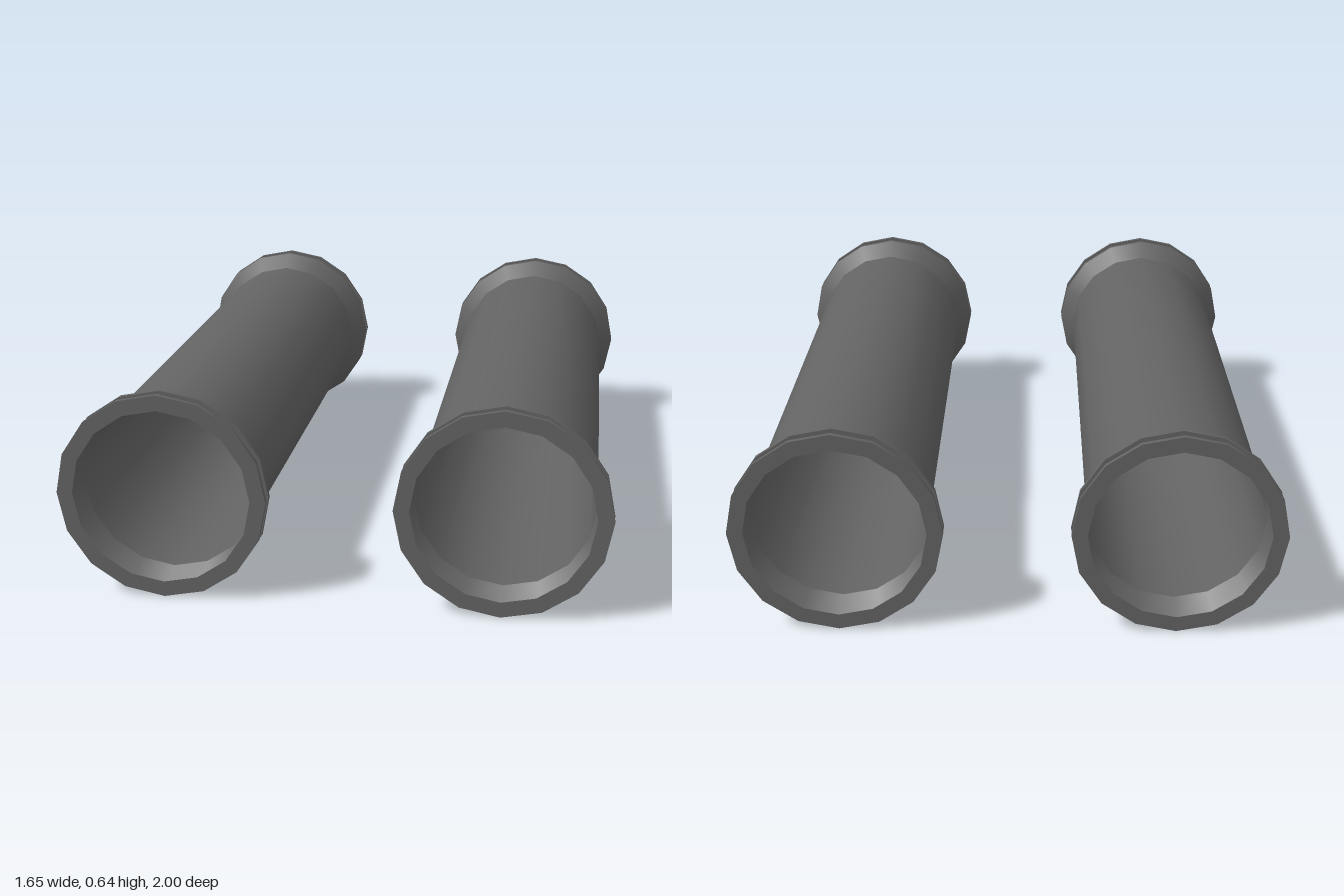
import * as THREE from 'three';

const SIDES = 16;
const RIM = 0.319, GROOVE = 0.3, BORE = 0.271;

export function createModel() {
  const grey = new THREE.MeshStandardMaterial({ color: 0x636363, side: THREE.DoubleSide });
  grey.name = 'dark grey';
  const orange = new THREE.MeshStandardMaterial({ color: 0xdd7711, side: THREE.DoubleSide });
  orange.name = 'orange';

  // Half profile from the middle of the tube outwards: [part, radius, z] to the next point
  const half = [
    ['tube', BORE, 0],
    ['flare', BORE, 0.88],
    ['flareLip', RIM, 0.94],
    ['flareLipFace', RIM, 0.955],
    ['sealRing', GROOVE, 0.955],
    ['flangeBack', GROOVE, 0.985],
    ['flangeEdge', RIM, 0.985],
    ['flangeFace', RIM, 1],
    ['', BORE, 1],
  ];

  // One hollow tube; each profile step is its own band so the edges stay sharp
  function makeTube(name, x) {
    const tube = new THREE.Group();
    tube.name = name;
    for (const end of [1, -1]) {
      for (let i = 0; i < half.length - 1; i++) {
        const [part, r0, z0] = half[i];
        const [, r1, z1] = half[i + 1];
        if (part === 'tube' && end < 0) continue; // the front pass builds the whole tube
        const a = new THREE.Vector2(r0, part === 'tube' ? -z1 : z0 * end);
        const b = new THREE.Vector2(r1, z1 * end);
        const geometry = new THREE.LatheGeometry(end > 0 ? [a, b] : [b, a], SIDES);
        geometry.rotateX(Math.PI / 2);
        const mesh = new THREE.Mesh(geometry, part === 'sealRing' ? orange : grey);
        mesh.name = part === 'tube' ? part : (end > 0 ? 'front ' : 'back ') + part;
        tube.add(mesh);
      }
    }
    tube.position.set(x, 0.32, 0);
    return tube;
  }

  const model = new THREE.Group();
  model.name = 'pairOfTubes';
  model.add(makeTube('leftTube', 0.507), makeTube('rightTube', -0.507));
  return model;
}
